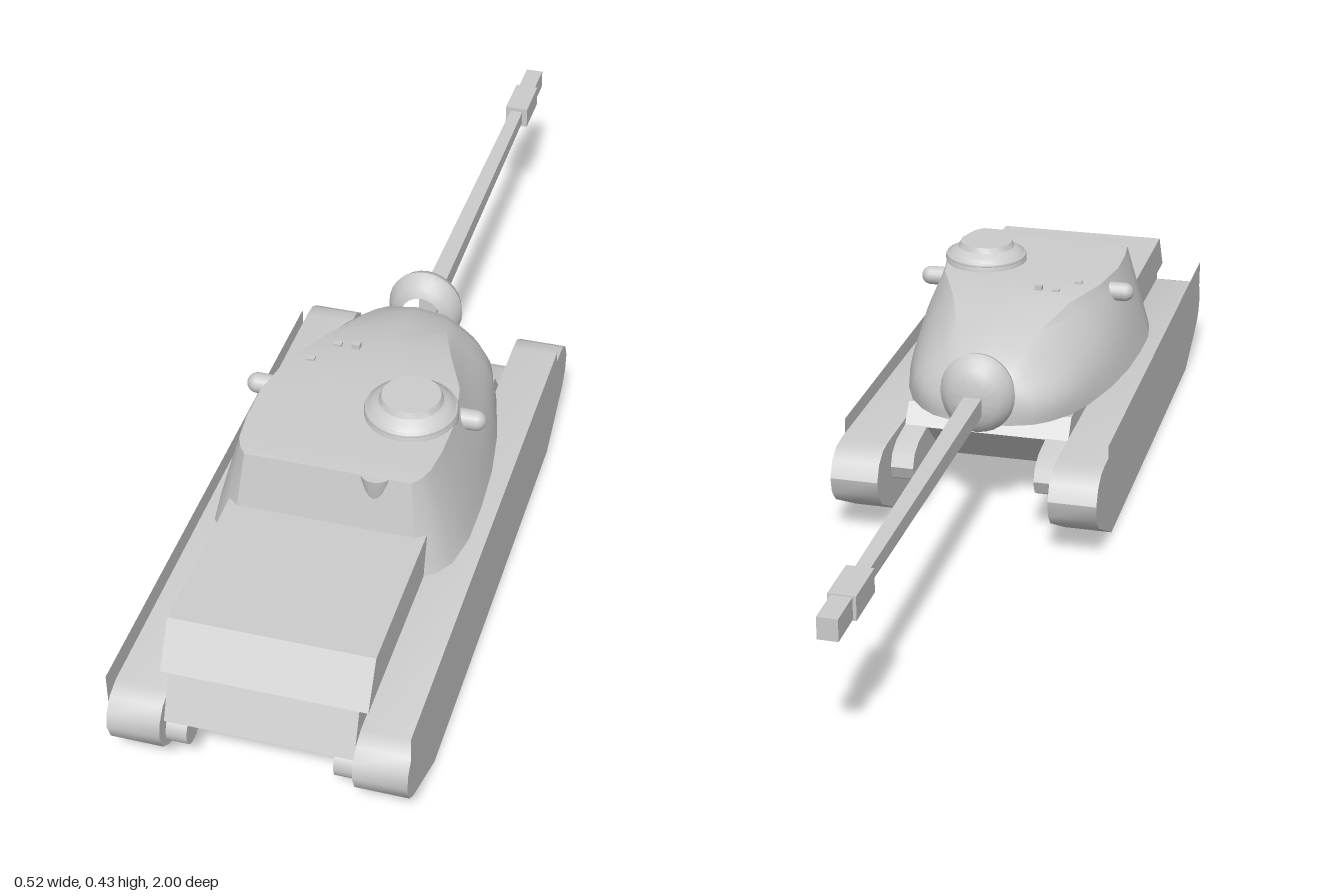
import * as THREE from 'three';
import { toCreasedNormals } from 'three/addons/utils/BufferGeometryUtils.js';

const material = new THREE.MeshStandardMaterial({ color: 0xcccccc });
const thinMaterial = new THREE.MeshStandardMaterial({ color: 0xcccccc, side: THREE.DoubleSide });

function add(parent, name, geometry, x = 0, y = 0, z = 0, mat = material) {
  const mesh = new THREE.Mesh(geometry, mat);
  mesh.name = name;
  mesh.position.set(x, y, z);
  parent.add(mesh);
  return mesh;
}

// Side profile given as [z, y], extruded across x and centred on x = 0
function slab(points, width) {
  const shape = new THREE.Shape(points.map(([z, y]) => new THREE.Vector2(z, y)));
  const geo = new THREE.ExtrudeGeometry(shape, { depth: width, bevelEnabled: false });
  geo.rotateY(-Math.PI / 2).translate(width / 2, 0, 0);
  return toCreasedNormals(geo, 0.6);
}

// Lathe from [radius, height] pairs, with sharp edges kept
function turned(points, segments) {
  const geo = new THREE.LatheGeometry(points.map(([r, h]) => new THREE.Vector2(r, h)), segments);
  return toCreasedNormals(geo, 0.6);
}

// Cast turret: sections lofted from the rear to the front
function turretGeometry() {
  const base = 0.21;
  // z, half width at base, half width at roof, roof height, side bulge, rear rake
  const stations = [
    [0.613, 0.17, 0.15, 0.39, 0, 0.036],
    [0.595, 0.198, 0.163, 0.391, 0, 0.034],
    [0.56, 0.22, 0.173, 0.391, 0, 0.025],
    [0.49, 0.232, 0.179, 0.391, 0.001, 0.01],
    [0.4, 0.232, 0.18, 0.391, 0.002, 0],
    [0.3, 0.226, 0.163, 0.391, 0.008, 0],
    [0.2, 0.211, 0.12, 0.386, 0.018, 0],
    [0.1, 0.185, 0.085, 0.366, 0.028, 0],
    [0.04, 0.16, 0.07, 0.347, 0.032, 0],
    [0, 0.13, 0.058, 0.327, 0.03, 0],
    [-0.025, 0.1, 0.045, 0.307, 0.025, 0],
    [-0.042, 0.055, 0.03, 0.28, 0.015, 0],
  ];
  const steps = 8, ring = 2 * steps + 3;
  const pos = [], index = [];
  for (const [z, wb, wt, h, bulge, rake] of stations) {
    const half = [];
    for (let k = 0; k <= steps; k++) {
      const s = k / steps;
      const x = wb + (wt - wb) * s + bulge * Math.sin(Math.PI * s);
      half.push([x, base + (h - bulge * 0.3 - base) * s, z - rake * s]);
    }
    const mirrored = half.map(([x, y, d]) => [-x, y, d]).reverse();
    pos.push(...[...half, [0, h, z - rake], ...mirrored].flat());
  }
  for (let i = 0; i < stations.length - 1; i++) {
    for (let j = 0; j < ring; j++) {
      const n = (j + 1) % ring;
      const a = i * ring + j, b = i * ring + n, c = a + ring, d = b + ring;
      index.push(a, c, b, b, c, d);
    }
  }
  const last = (stations.length - 1) * ring;
  for (let j = 1; j < ring - 1; j++) {
    index.push(0, j, j + 1);
    index.push(last, last + j + 1, last + j);
  }
  const geo = new THREE.BufferGeometry();
  geo.setAttribute('position', new THREE.Float32BufferAttribute(pos, 3));
  geo.setIndex(index);
  return toCreasedNormals(geo, 0.6);
}

function createHull() {
  const hull = new THREE.Group();
  hull.name = 'hull';
  add(hull, 'lowerHull', slab([
    [0.98, 0.132], [0.945, 0.21], [0.03, 0.21], [0.0, 0.17], [0.12, 0.065], [0.83, 0.065],
  ], 0.33));
  add(hull, 'engineDeck', slab([
    [0.945, 0.21], [0.895, 0.287], [0.3, 0.287], [0.3, 0.21],
  ], 0.36));
  for (const side of [-1, 1]) {
    // Final drive housings at both ends
    const rear = new THREE.CylinderGeometry(0.033, 0.033, 0.037, 20).rotateZ(Math.PI / 2);
    add(hull, 'rearDriveHousing', rear, side * 0.1465, 0.098, 0.945);
    add(hull, 'frontDriveHousing', slab([
      [0.18, 0.19], [-0.06, 0.165], [-0.09, 0.15], [-0.102, 0.125],
      [-0.09, 0.098], [-0.06, 0.082], [0.1, 0.07],
    ], 0.045), side * 0.1425);
  }
  return hull;
}

function createTracks() {
  const tracks = new THREE.Group();
  tracks.name = 'tracks';
  const outline = [
    [-0.03, 0], [0.83, 0], [0.965, 0.06], [0.988, 0.078], [1, 0.11], [0.994, 0.138],
    [0.975, 0.16], [0.945, 0.17], [-0.11, 0.181], [-0.145, 0.177], [-0.172, 0.16],
    [-0.187, 0.128], [-0.18, 0.095], [-0.158, 0.07],
  ];
  for (const side of [-1, 1]) {
    add(tracks, 'track', slab(outline, 0.094), side * 0.214);
    // Thin skirt standing proud of the track top
    const skirt = new THREE.PlaneGeometry(1.065, 0.128).rotateY(side * Math.PI / 2);
    add(tracks, 'sideSkirt', skirt, side * 0.262, 0.145, 0.4475, thinMaterial);
  }
  return tracks;
}

function createTurret() {
  const turret = new THREE.Group();
  turret.name = 'turret';
  add(turret, 'turretBody', turretGeometry());

  // Commander's cupola and the cast swelling that carries it
  add(turret, 'cupola', turned([
    [0.084, 0.375], [0.084, 0.398], [0.08, 0.406], [0.068, 0.414],
    [0.058, 0.42], [0.053, 0.431], [0, 0.431],
  ], 32), 0.098, 0, 0.39);
  add(turret, 'cupolaRim', new THREE.TorusGeometry(0.078, 0.006, 8, 32).rotateX(Math.PI / 2), 0.098, 0.401, 0.39);
  add(turret, 'rearSwelling', turned([
    [0, 0.29], [0.012, 0.31], [0.024, 0.35], [0.03, 0.39], [0, 0.39],
  ], 20), 0.085, 0, 0.562);

  // Rounded ventilator stubs on the cheeks
  for (const side of [-1, 1]) {
    const stub = new THREE.CapsuleGeometry(0.019, 0.04, 6, 16).rotateZ(Math.PI / 2);
    add(turret, 'cheekStub', stub, side * 0.185, 0.36, 0.345);
  }
  // Small roof fittings
  for (const [x, z, h] of [[-0.12, 0.29, 0.004], [-0.085, 0.235, 0.004], [-0.05, 0.235, 0.01]]) {
    add(turret, 'roofFitting', new THREE.BoxGeometry(0.015, h, 0.012), x, 0.391 + h / 2, z);
  }
  return turret;
}

function createGun() {
  const gun = new THREE.Group();
  gun.name = 'gun';
  gun.position.y = 0.27;
  // Bulbous mantlet, turned about the barrel axis
  const mantlet = turned([
    [0.04, 0], [0.058, 0.008], [0.07, 0.022], [0.074, 0.036], [0.068, 0.052],
    [0.052, 0.066], [0.03, 0.074], [0, 0.076],
  ], 28).rotateX(-Math.PI / 2).scale(1, 1.1, 1);
  add(gun, 'mantlet', mantlet, 0, 0.013, -0.028);

  // Square barrel, tapering towards the muzzle
  const barrel = new THREE.CylinderGeometry(0.0185, 0.025, 0.75, 4).rotateY(Math.PI / 4).rotateX(-Math.PI / 2);
  const barrelMesh = add(gun, 'barrel', toCreasedNormals(barrel, 0.4), 0, 0, -0.455);
  barrelMesh.scale.y = 1.05;
  add(gun, 'muzzleBrake', new THREE.BoxGeometry(0.048, 0.044, 0.1), 0, 0, -0.875);
  add(gun, 'muzzleTip', new THREE.BoxGeometry(0.036, 0.04, 0.08), 0, 0, -0.96);
  return gun;
}

export function createModel() {
  const model = new THREE.Group();
  model.name = 'tank';
  model.add(createHull(), createTracks(), createTurret(), createGun());
  return model;
}
